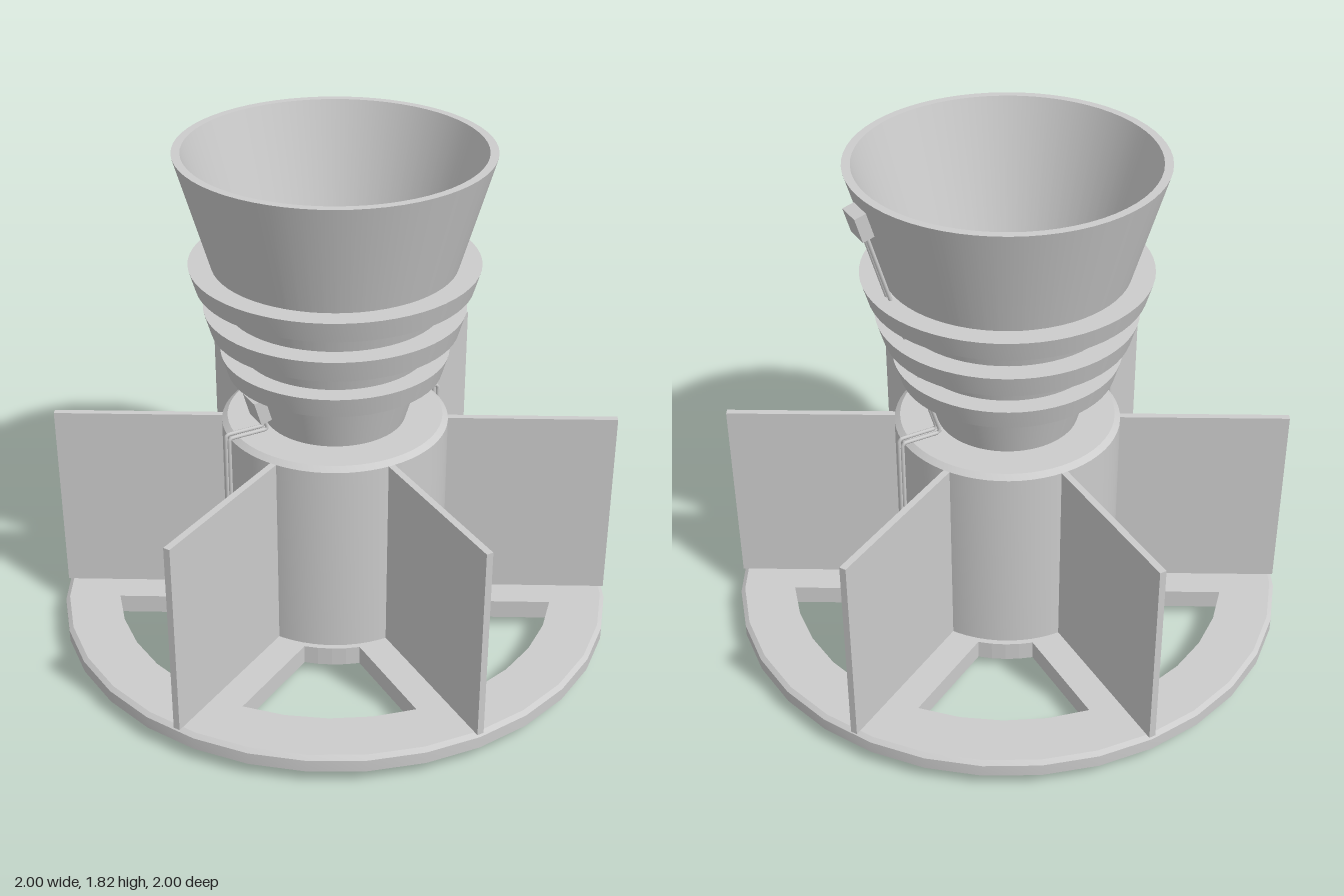
import * as THREE from 'three';
import { toCreasedNormals } from 'three/addons/utils/BufferGeometryUtils.js';

const grey = new THREE.MeshStandardMaterial({ color: 0xcccccc });
const greyDouble = new THREE.MeshStandardMaterial({ color: 0xcccccc, side: THREE.DoubleSide });
const BASE_TOP = 0.11, BASE_BOTTOM = 0.04;
const CONE_BOTTOM = 0.835, CONE_TOP = 1.815;
const SLOPE = (0.535 - 0.25) / (CONE_TOP - CONE_BOTTOM);
const TILT = Math.atan(SLOPE);
const coneRadius = (y) => 0.25 + (y - CONE_BOTTOM) * SLOPE;

function add(parent, name, geometry, material = grey) {
  const mesh = new THREE.Mesh(geometry, material);
  mesh.name = name;
  parent.add(mesh);
  return mesh;
}

// Revolved profile of [radius, y] pairs, listed from bottom to top on the outside
function turned(points, segments) {
  const lathe = new THREE.LatheGeometry(points.map(([r, y]) => new THREE.Vector2(r, y)), segments);
  return toCreasedNormals(lathe, 0.5);
}

// Polyline in the x-y plane with rounded corners
function bentPath(points, z, bend) {
  const p = points.map(([x, y]) => new THREE.Vector3(x, y, z));
  const path = new THREE.CurvePath();
  let start = p[0];
  for (let i = 1; i < p.length - 1; i++) {
    const before = p[i].clone().add(p[i - 1].clone().sub(p[i]).setLength(bend));
    const after = p[i].clone().add(p[i + 1].clone().sub(p[i]).setLength(bend));
    path.add(new THREE.LineCurve3(start, before));
    path.add(new THREE.QuadraticBezierCurve3(before, p[i], after));
    start = after;
  }
  path.add(new THREE.LineCurve3(start, p[p.length - 1]));
  return path;
}

// Spoked plate with six windows
function spokedPlate() {
  const shape = new THREE.Shape();
  for (let i = 0; i < 32; i++) {
    const a = (i / 32) * Math.PI * 2;
    const x = 0.9 * Math.cos(a), y = 0.9 * Math.sin(a);
    if (i === 0) shape.moveTo(x, y); else shape.lineTo(x, y);
  }
  const halfSpoke = 0.12;
  for (let w = 0; w < 6; w++) {
    const mid = (w * Math.PI) / 3;
    const corners = [];
    const arc = (r, direction) => {
      const spread = Math.PI / 6 - Math.asin(halfSpoke / r);
      for (let i = -2; i <= 2; i++) {
        const a = mid + (direction * spread * i) / 2;
        corners.push(new THREE.Vector2(r * Math.cos(a), r * Math.sin(a)));
      }
    };
    arc(0.8, 1);
    arc(0.42, -1);
    shape.holes.push(new THREE.Path(corners));
  }
  const geometry = new THREE.ExtrudeGeometry(shape, { depth: BASE_TOP - BASE_BOTTOM, bevelEnabled: false });
  geometry.rotateX(-Math.PI / 2).translate(0, BASE_BOTTOM, 0);
  return geometry;
}

// Pair of wires running up from the base to a small tilted sensor block
function probe(name, side, blockY, blockHeight) {
  const group = new THREE.Group();
  group.name = name;
  const offset = 0.02;
  const points = [
    [0.42, 0], [0.42, 0.845], [coneRadius(0.845) + offset, 0.845],
    [coneRadius(blockY) + offset, blockY],
  ].map(([x, y]) => [x * side, y]);
  for (const z of [-0.014, 0.014]) {
    add(group, 'wire', new THREE.TubeGeometry(bentPath(points, z, 0.015), 140, 0.007, 8), greyDouble);
  }
  const block = add(group, 'sensorBlock', new THREE.BoxGeometry(0.042, blockHeight, 0.09));
  block.position.set(side * (coneRadius(blockY) + 0.025), blockY, 0);
  block.rotation.z = -side * TILT;
  return group;
}

export function createModel() {
  const model = new THREE.Group();
  model.name = 'finnedFunnel';

  // Base wheel
  const base = new THREE.Group();
  base.name = 'base';
  model.add(base);
  add(base, 'spokedPlate', spokedPlate());
  add(base, 'rim', turned([
    [0.9, BASE_BOTTOM], [0.985, BASE_BOTTOM], [1, 0.053], [1, 0.097], [0.985, BASE_TOP], [0.9, BASE_TOP],
  ], 32));

  // Central drum with chamfered top
  add(model, 'drum', turned([[0, 0.1], [0.4, 0.1], [0.4, 0.82], [0.38, 0.836], [0, 0.836]], 64));

  // Six radial fins
  for (let i = 0; i < 6; i++) {
    const fin = new THREE.Group();
    fin.name = 'fin';
    fin.rotation.y = (i * Math.PI) / 3;
    const panel = add(fin, 'finPanel', new THREE.BoxGeometry(0.024, 0.82 - BASE_TOP, 0.62));
    panel.position.set(0, (0.82 + BASE_TOP) / 2, 0.69);
    model.add(fin);
  }

  // Hollow funnel with a floor
  add(model, 'funnel', turned([
    [0.25, CONE_BOTTOM], [0.535, CONE_TOP], [0.506, CONE_TOP], [0.21, 0.86], [0, 0.86],
  ], 64));

  // Small nozzle in the middle of the floor
  add(model, 'nozzle', turned([[0.04, 0.855], [0.04, 0.875], [0.028, 0.875], [0.028, 0.861], [0, 0.861]], 24));

  // Collars around the funnel
  for (const [bottom, top, radius] of [[1.02, 1.095, 0.375], [1.18, 1.26, 0.428], [1.345, 1.42, 0.475]]) {
    add(model, 'collar', turned([
      [coneRadius(bottom) - 0.01, bottom], [radius, bottom],
      [radius + (top - bottom) * SLOPE, top], [coneRadius(top) - 0.01, top],
    ], 64));
  }

  // Upper probe on the left side, lower probe on the right
  model.add(probe('upperProbe', 1, 1.718, 0.09));
  model.add(probe('lowerProbe', -1, 0.933, 0.09));
  return model;
}
